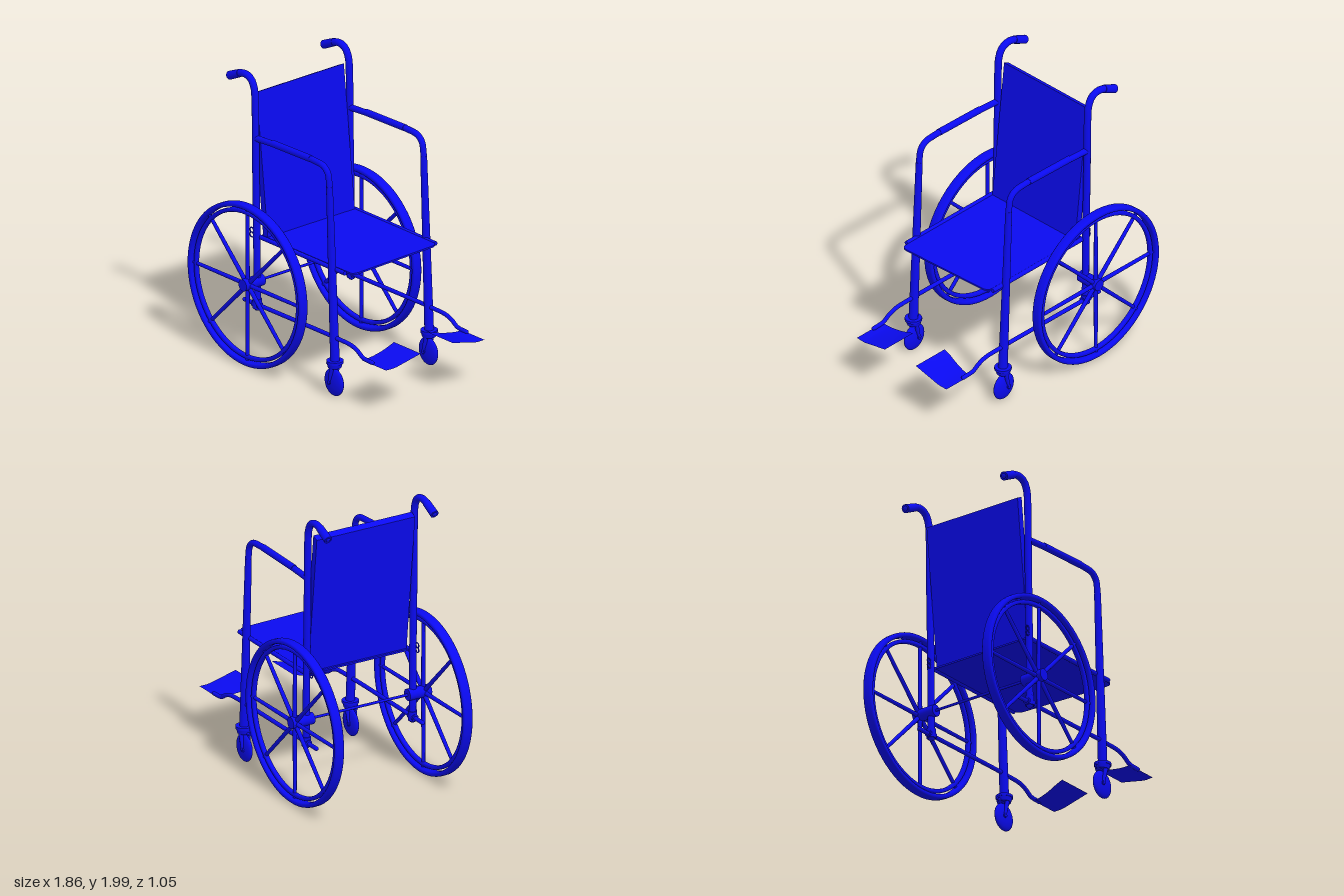
import * as THREE from 'three';

const paint = new THREE.MeshStandardMaterial({ color: 0x0a0af0 });
const sheet = new THREE.MeshStandardMaterial({ color: 0x0a0af0, side: THREE.DoubleSide });
const V = (x, y, z = 0) => new THREE.Vector3(x, y, z);

function add(parent, name, geometry, material = paint) {
  const mesh = new THREE.Mesh(geometry, material);
  mesh.name = name;
  parent.add(mesh);
  return mesh;
}

// Round bar between two points, optionally tapered (ra at a, rb at b)
function bar(parent, name, a, b, ra, rb = ra, sides = 16) {
  const mesh = add(parent, name, new THREE.CylinderGeometry(rb, ra, a.distanceTo(b), sides));
  mesh.position.copy(a).add(b).multiplyScalar(0.5);
  mesh.quaternion.setFromUnitVectors(V(0, 1, 0), b.clone().sub(a).normalize());
  return mesh;
}

// Bent tube through [x, y] points in the plane z = 0, with closed ends
function bentTube(parent, name, pts, r) {
  const points = pts.map(([x, y]) => V(x, y));
  const curve = new THREE.CatmullRomCurve3(points, false, 'centripetal');
  add(parent, name, new THREE.TubeGeometry(curve, 64, r, 14));
  for (const p of [points[0], points[points.length - 1]]) {
    add(parent, name + 'End', new THREE.SphereGeometry(r, 14, 8)).position.copy(p);
  }
}

// Ring around the z axis with an oval section
function ring(parent, name, radius, halfDepth, halfWidth) {
  const profile = [];
  for (let i = 0; i <= 16; i++) {
    const a = -(i / 16) * Math.PI * 2;
    const s = (v) => Math.sign(v) * Math.abs(v) ** 0.6;
    profile.push(new THREE.Vector2(radius + halfDepth * s(Math.cos(a)), -halfWidth * s(Math.sin(a))));
  }
  add(parent, name, new THREE.LatheGeometry(profile, 72).rotateX(Math.PI / 2), sheet);
}

// Large wheel with tyre, rim, eight spokes and hub
function driveWheel() {
  const g = new THREE.Group();
  g.name = 'driveWheel';
  ring(g, 'tyre', 0.54, 0.017, 0.034);
  ring(g, 'rim', 0.5, 0.014, 0.016);
  for (let i = 0; i < 8; i++) {
    const a = (i * Math.PI) / 4;
    bar(g, 'spoke', V(0, 0), V(Math.cos(a) * 0.53, Math.sin(a) * 0.53), 0.015, 0.012, 10);
  }
  return g;
}

// Small swivelling front wheel with its fork
function caster() {
  const g = new THREE.Group();
  g.name = 'caster';
  const wheel = add(g, 'casterWheel', new THREE.SphereGeometry(1, 32, 20));
  wheel.scale.set(0.09, 0.095, 0.027);
  wheel.position.set(0.388, 0.1, 0);
  bar(g, 'casterPlate', V(0.395, 0.235), V(0.395, 0.253), 0.056, 0.056, 24);
  bar(g, 'casterCollar', V(0.392, 0.205), V(0.392, 0.235), 0.045, 0.052, 24);
  bar(g, 'casterPin', V(0.32, 0.212), V(0.39, 0.212), 0.01);
  for (const s of [-1, 1]) {
    bar(g, 'forkArm', V(0.365, 0.085, s * 0.026), V(0.395, 0.215, s * 0.026), 0.01, 0.016, 10);
  }
  bar(g, 'casterAxle', V(0.37, 0.1, -0.034), V(0.37, 0.1, 0.034), 0.014);
  return g;
}

// Tubes lying in one side plane
function sideFrame() {
  const g = new THREE.Group();
  g.name = 'sideFrame';
  bentTube(g, 'backPost', [[-0.365, 0.39], [-0.37, 0.9], [-0.38, 1.4], [-0.386, 1.8],
    [-0.395, 1.9], [-0.425, 1.955], [-0.48, 1.975], [-0.55, 1.96], [-0.62, 1.925]], 0.024);
  bar(g, 'grip', V(-0.635, 1.918), V(-0.535, 1.964), 0.029, 0.027);
  bentTube(g, 'armrest', [[-0.37, 1.56], [-0.1, 1.575], [0.2, 1.578], [0.285, 1.567],
    [0.325, 1.53], [0.338, 1.47], [0.345, 1.38]], 0.021);
  bar(g, 'armPad', V(-0.22, 1.572), V(0.16, 1.58), 0.023);
  bar(g, 'frontLeg', V(0.395, 0.24), V(0.341, 1.44), 0.031, 0.022);
  bentTube(g, 'footRail', [[-0.49, 0.407], [0, 0.41], [0.42, 0.41], [0.56, 0.403],
    [0.62, 0.382], [0.67, 0.352], [0.76, 0.345]], 0.014);
  bar(g, 'railClamp', V(-0.4, 0.409), V(-0.335, 0.409), 0.024);
  bar(g, 'postFoot', V(-0.366, 0.385), V(-0.366, 0.45), 0.03);
  // small strap loops behind the seat
  for (const y of [0.885, 0.918]) {
    const loop = add(g, 'strapLoop', new THREE.TorusGeometry(0.017, 0.004, 6, 16));
    loop.position.set(-0.405, y, 0.012);
  }
  g.add(caster());
  return g;
}

// Thin footplate rising towards the middle; side is +1 or -1
function footplate(side) {
  const geo = new THREE.PlaneGeometry(1, 1, 4, 10);
  const p = geo.attributes.position;
  for (let i = 0; i < p.count; i++) {
    const u = p.getX(i) + 0.5, t = p.getY(i) + 0.5; // t = 0 outer edge, 1 inner edge
    const back = side < 0 ? 0.71 - 0.05 * Math.min(1, t * 1.2) : 0.667;
    const front = side < 0 ? 0.925 : 0.905 + 0.025 * t;
    const rise = Math.max(0, t - 0.25) / 0.75;
    p.setXYZ(i, back + (front - back) * u, 0.338 + 0.052 * rise - 0.008 * Math.sin(rise * Math.PI) * (1 - u),
      side * (0.412 - 0.275 * t));
  }
  geo.computeVertexNormals();
  return geo;
}

export function createModel() {
  const model = new THREE.Group();
  model.name = 'wheelchair';

  for (const side of [-1, 1]) {
    const frame = sideFrame();
    frame.position.z = side * 0.403;
    model.add(frame);

    const wheel = driveWheel();
    wheel.position.set(-0.37, 0.565, side < 0 ? -0.492 : 0.482);
    model.add(wheel);
    bar(model, 'hub', V(-0.37, 0.57, side * 0.36), V(-0.37, 0.57, side * 0.525), 0.04, 0.04, 24);

    bar(model, 'seatRail', V(-0.36, 0.876, side * 0.388), V(0.475, 0.876, side * 0.388), 0.015);
    add(model, 'footplate', footplate(side), sheet);
  }
  bar(model, 'axle', V(-0.37, 0.57, -0.4), V(-0.37, 0.57, 0.4), 0.009);

  // Seat panel with a slanted front edge and rounded front corners
  const seat = new THREE.Shape();
  seat.moveTo(-0.36, -0.37);
  seat.lineTo(0.51, -0.37);
  seat.quadraticCurveTo(0.535, -0.365, 0.535, -0.32);
  seat.lineTo(0.508, 0.33);
  seat.quadraticCurveTo(0.505, 0.375, 0.46, 0.378);
  seat.lineTo(-0.36, 0.378);
  const seatGeo = new THREE.ExtrudeGeometry(seat, { depth: 0.012, bevelEnabled: false });
  add(model, 'seat', seatGeo.rotateX(-Math.PI / 2)).position.y = 0.872;

  // Leaning backrest panel
  const back = new THREE.Shape([[-0.345, 0.885], [-0.3, 0.885], [-0.408, 1.862], [-0.45, 1.842]]
    .map(([x, y]) => new THREE.Vector2(x, y)));
  const backGeo = new THREE.ExtrudeGeometry(back, { depth: 0.745, bevelEnabled: false });
  add(model, 'backrest', backGeo).position.z = -0.375;

  return model;
}
